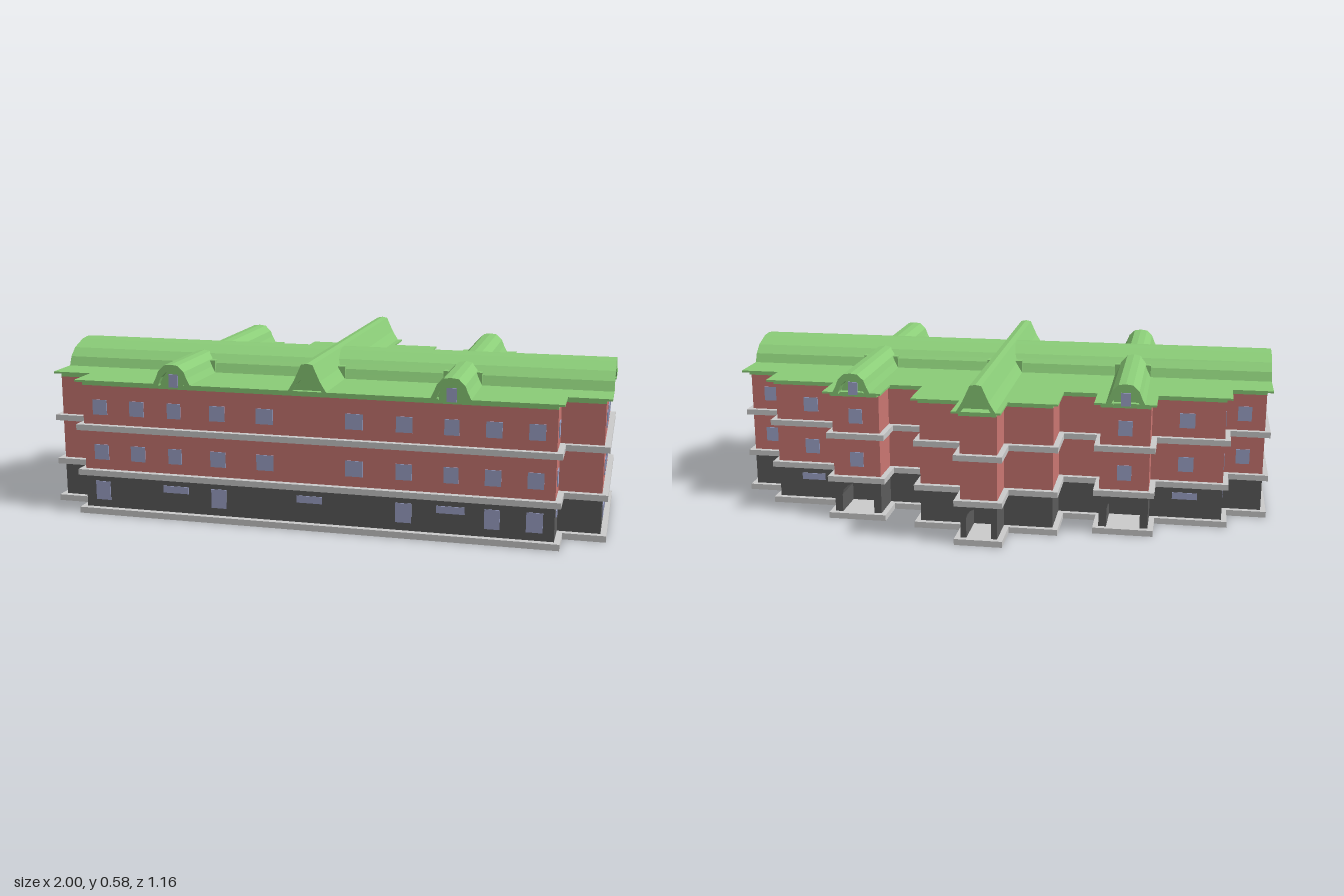
import * as THREE from 'three';

const mat = (color) => new THREE.MeshStandardMaterial({ color, flatShading: true });

// Half of the floor plan: x, z, outward signs for x and z, kind
// kind: 'notch' = roof cut-out under an arch, 'wing' = projecting rear porch
const PLAN = [
  [0.445, 0.56, 0, 1, 'notch'], [0.445, 0.53, 0, 1, 'notch'],
  [0.535, 0.53, 0, 1, 'notch'], [0.535, 0.56, 0, 1, 'notch'],
  [0.835, 0.56, 1, 1], [0.835, 0.435, 1, 1], [0.98, 0.435, 1, 1],
  [0.98, 0.275, 1, 0, 'notch'], [0.95, 0.275, 1, 0, 'notch'],
  [0.95, 0.075, 1, 0, 'notch'], [0.98, 0.075, 1, 0, 'notch'],
  [0.98, -0.08, 1, -1], [0.835, -0.08, 1, -1], [0.835, -0.21, 1, -1],
  [0.575, -0.21, 1, -1, 'wing'], [0.575, -0.345, 1, -1, 'wing'],
  [0.535, -0.345, 0, -1, 'notch'], [0.535, -0.28, 0, -1, 'notch'],
  [0.445, -0.28, 0, -1, 'notch'], [0.445, -0.345, 0, -1, 'notch'],
  [0.4, -0.345, -1, -1, 'wing'], [0.4, -0.21, -1, -1, 'wing'],
  [0.24, -0.21, 1, -1], [0.24, -0.39, 1, -1],
  [0.065, -0.39, 1, -1, 'wing'], [0.065, -0.535, 1, -1, 'wing'],
];

// Mirrored plan, grown outwards by dx, front and back
function planShape(dx, front, back, skip) {
  const half = PLAN.filter((p) => !skip.includes(p[4])).map(([x, z, sx, sz]) =>
    new THREE.Vector2(x + sx * dx, z + (sz > 0 ? front : sz < 0 ? -back : 0)));
  const other = half.map((p) => new THREE.Vector2(-p.x, p.y)).reverse();
  return new THREE.Shape([...half, ...other]);
}

const extrude = (shape, depth) =>
  new THREE.ExtrudeGeometry(shape, { depth, bevelEnabled: false });

const pts = (list) => list.map(([x, y]) => new THREE.Vector2(x, y));
const mirrorProfile = (half) =>
  [...half, ...half.map(([x, y]) => [-x, y]).reverse().filter(([x]) => x !== 0)];

export function createModel() {
  const model = new THREE.Group();
  const green = mat(0x8bcd78), red = mat(0xcb7772), dark = mat(0x5c5c5c);
  const grey = mat(0xcccccc), glass = mat(0x9fa5cb);

  const add = (name, geometry, material, x = 0, y = 0, z = 0) => {
    const mesh = new THREE.Mesh(geometry, material);
    mesh.name = name;
    mesh.position.set(x, y, z);
    model.add(mesh);
    return mesh;
  };
  const layer = (name, y0, y1, shape, material) =>
    add(name, extrude(shape, y1 - y0).rotateX(Math.PI / 2), material, 0, y1, 0);

  // Storeys and the ledges between them
  const wall = planShape(0, 0, 0, ['notch']);
  const ledge = planShape(0.02, 0.022, 0.02, ['notch']);
  layer('baseLedge', 0, 0.022, ledge, grey);
  layer('groundFloor', 0.022, 0.142, planShape(0, 0, 0, ['notch', 'wing']), dark);
  layer('lowerLedge', 0.142, 0.163, ledge, grey);
  layer('middleFloor', 0.163, 0.307, wall, red);
  layer('upperLedge', 0.307, 0.328, ledge, grey);
  layer('topFloor', 0.328, 0.468, wall, red);
  layer('eaves', 0.468, 0.484, planShape(0, 0, 0.02, ['notch']), green);
  layer('roofSlab', 0.482, 0.489, planShape(0.02, 0.02, 0.045, []), green);

  // Arched porches under the rear wings
  const porch = (x, width, zBack, depth) => {
    const w = width / 2, r = w * 0.68;
    const shape = new THREE.Shape(pts([[-w, 0], [-r, 0]]));
    shape.lineTo(-r, 0.095 - r * 0.5);
    for (let i = 1; i <= 8; i++) {
      const a = Math.PI * (1 - i / 8);
      shape.lineTo(Math.cos(a) * r, 0.095 - r * 0.5 + Math.sin(a) * r * 0.8);
    }
    shape.lineTo(r, 0);
    shape.lineTo(w, 0);
    shape.lineTo(w, 0.12);
    shape.lineTo(-w, 0.12);
    add('porch', extrude(shape, depth), dark, x, 0.022, zBack);
  };
  porch(0, 0.13, -0.535, 0.145);
  for (const s of [-1, 1]) porch(s * 0.4875, 0.175, -0.345, 0.135);

  // Vaulted roofs: hollow shell with a recessed end panel
  const vault = (name, outer, inner, from, to, panelFrom, panelTo, place) => {
    const o = mirrorProfile(outer), i = mirrorProfile(inner);
    const shell = extrude(new THREE.Shape(pts([...o, ...[...i].reverse()])), to - from);
    const panel = extrude(new THREE.Shape(pts(i)), panelTo - panelFrom);
    place(add(name, shell.translate(0, 0, from), green));
    place(add(name + 'EndPanel', panel.translate(0, 0, panelFrom), green));
  };
  vault('mainVault',
    [[-0.155, 0.484], [-0.138, 0.522], [-0.105, 0.551], [-0.04, 0.574], [0, 0.578]],
    [[-0.128, 0.484], [-0.108, 0.51], [-0.07, 0.53], [0, 0.532]],
    -1, 1, -0.98, 0.98,
    (m) => { m.rotation.y = Math.PI / 2; m.position.z = 0.175; });
  vault('centreGable',
    [[-0.07, 0.484], [-0.055, 0.508], [-0.045, 0.525], [-0.02, 0.58], [0, 0.584]],
    [[-0.054, 0.484], [-0.038, 0.512], [-0.02, 0.528], [0, 0.532]],
    -0.58, 0.58, -0.535, 0.56, () => {});
  for (const s of [-1, 1]) {
    vault('sideGable',
      [[-0.07, 0.484], [-0.056, 0.512], [-0.047, 0.535], [-0.025, 0.556], [0, 0.559]],
      [[-0.05, 0.484], [-0.038, 0.512], [-0.02, 0.53], [0, 0.533]],
      -0.39, 0.58, -0.345, 0.56, (m) => { m.position.x = s * 0.4875; });
  }
  // Blocks where the gables meet the main vault
  for (const x of [-0.4875, 0, 0.4875]) {
    add('gableJoint', new THREE.BoxGeometry(0.134, 0.05, 0.308), green, x, 0.508, 0.175);
  }

  // Windows: on faces along z (front, back) or along x (sides)
  const T = 0.006;
  const windowZ = (x, z, w, y0, y1) =>
    add('window', new THREE.BoxGeometry(w, y1 - y0, T), glass, x, (y0 + y1) / 2, z);
  const windowX = (x, z, w, y0, y1) =>
    add('window', new THREE.BoxGeometry(T, y1 - y0, w), glass, x, (y0 + y1) / 2, z);
  const floors = [[0.199, 0.254], [0.363, 0.417]];

  for (const s of [-1, 1]) {
    for (const [y0, y1] of floors) {
      // Front
      for (const [x, w] of [[0.77, 0.054], [0.63, 0.054], [0.49, 0.05], [0.33, 0.056], [0.158, 0.062]])
        windowZ(s * x, 0.56, w, y0, y1);
      // Sides
      for (const [z, w] of [[0.305, 0.052], [0.175, 0.072], [0.046, 0.05]])
        windowX(s * 0.98, z, w, y0, y1);
      for (const z of [0.497, -0.145]) windowX(s * 0.835, z, 0.045, y0, y1);
      // Back
      windowZ(s * 0.905, -0.08, 0.05, y0, y1);
      windowZ(s * 0.7, -0.21, 0.055, y0, y1);
      windowZ(s * 0.4875, -0.345, 0.05, y0, y1);
    }
    // Ground floor
    for (const x of [0.77, 0.33]) windowZ(s * x, 0.56, 0.055, 0.05, 0.118);
    windowZ(s * 0.49, 0.56, 0.095, 0.093, 0.118);
    for (const [z, w] of [[0.305, 0.052], [0.175, 0.072], [0.046, 0.05]])
      windowX(s * 0.98, z, w, 0.048, 0.094);
    for (const z of [0.497, -0.145]) windowX(s * 0.835, z, 0.045, 0.094, 0.118);
    windowZ(s * 0.7, -0.21, 0.09, 0.093, 0.118);
    // Under the vault ends
    windowX(s * 0.98, 0.175, 0.19, 0.475, 0.518);
    windowZ(s * 0.4875, 0.56, 0.034, 0.475, 0.522);
    windowZ(s * 0.4875, -0.365, 0.034, 0.475, 0.522);
  }
  windowZ(0.63, 0.56, 0.052, 0.05, 0.118);
  windowZ(0, 0.56, 0.092, 0.093, 0.118);

  return model;
}
